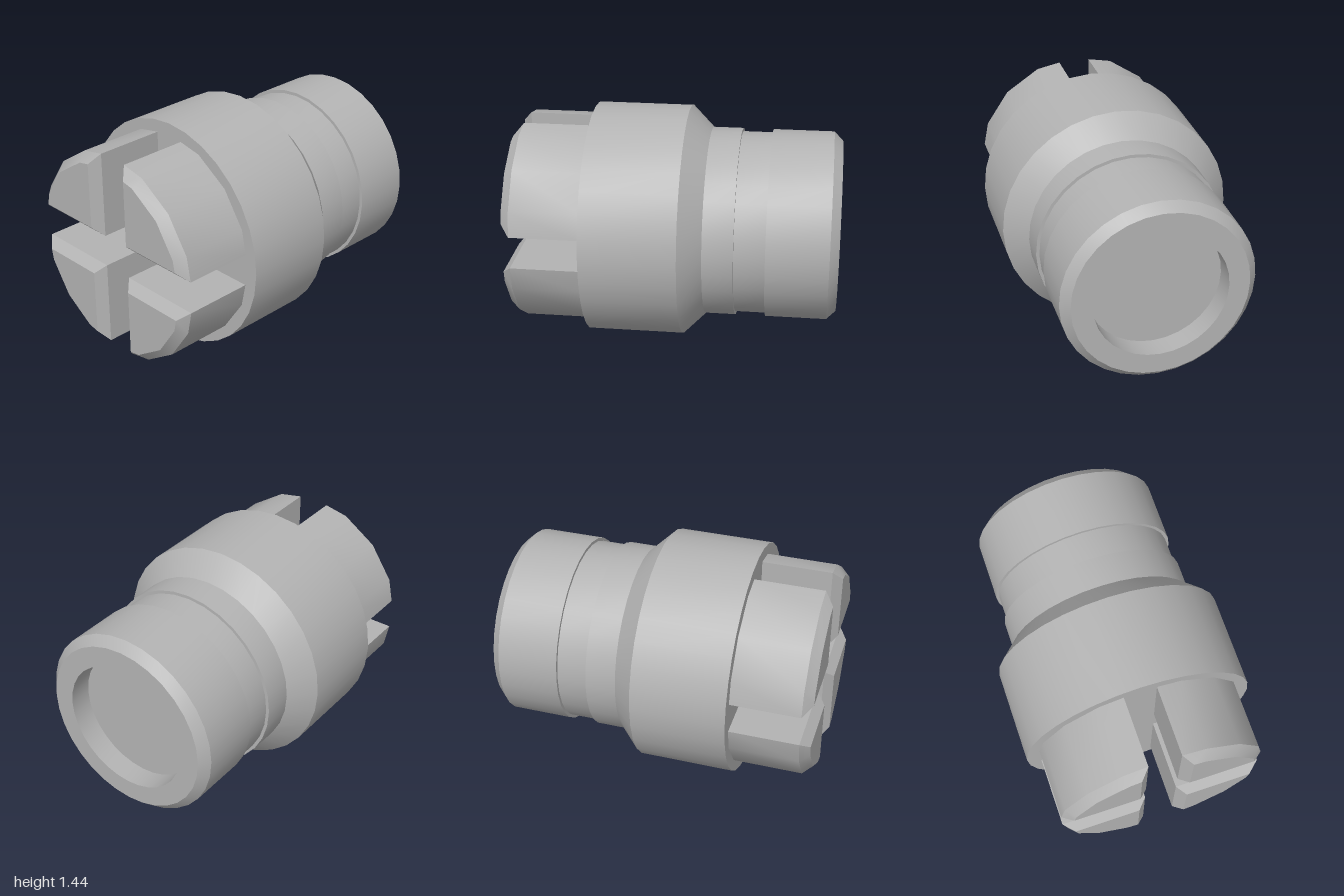
import * as THREE from 'three';
import { toCreasedNormals } from 'three/addons/utils/BufferGeometryUtils.js';

const AXIS_Y = 0.72; // height of the coupling's axis

// Outline (z, y) of one jaw: a quadrant of a 16-sided disc, set back from the slots by s
function jawOutline(R, s) {
  const end = R - Math.tan(Math.PI / 16) * s;
  const pts = [[s, s], [end, s]];
  for (let k = 1; k <= 3; k++) {
    const a = (k * Math.PI) / 8;
    pts.push([R * Math.cos(a), R * Math.sin(a)]);
  }
  pts.push([s, end]);
  return pts;
}

// Jaw lofted from root to chamfered tip along -x
function jawGeometry() {
  const sections = [[-0.515, 0.652, 0.1], [-0.943, 0.652, 0.1], [-1, 0.597, 0.155]];
  const pos = [];
  const idx = [];
  for (const [x, R, s] of sections) {
    for (const [z, y] of jawOutline(R, s)) pos.push(x, y, z);
  }
  const n = 6;
  for (let r = 0; r < sections.length - 1; r++) {
    for (let i = 0; i < n; i++) {
      const a = r * n + i;
      const b = r * n + ((i + 1) % n);
      idx.push(a, b, b + n, a, b + n, a + n);
    }
  }
  const tip = (sections.length - 1) * n;
  for (let i = 1; i < n - 1; i++) idx.push(tip, tip + i, tip + i + 1);
  const g = new THREE.BufferGeometry();
  g.setAttribute('position', new THREE.Float32BufferAttribute(pos, 3));
  g.setIndex(idx);
  return toCreasedNormals(g.toNonIndexed(), 0.45);
}

export function createModel() {
  const group = new THREE.Group();
  group.name = 'jawCoupling';
  const steel = new THREE.MeshStandardMaterial({ color: 0xb3b3b3 });
  steel.name = 'steel grey';

  // Turned body: collar, taper, neck with groove, chamfered rim and shallow bore
  const profile = [
    [0, -0.517], [0.718, -0.517], [0.718, 0.063], [0.585, 0.197],
    [0.585, 0.383], [0.565, 0.383], [0.565, 0.57], [0.585, 0.57],
    [0.585, 0.945], [0.532, 1], [0.405, 1], [0.405, 0.86], [0, 0.86],
  ].map(([r, h]) => new THREE.Vector2(r, h));
  const bodyGeo = new THREE.LatheGeometry(profile, 32).toNonIndexed();
  bodyGeo.rotateZ(-Math.PI / 2);
  const body = new THREE.Mesh(toCreasedNormals(bodyGeo, 0.45), steel);
  body.name = 'body';
  body.position.y = AXIS_Y;
  group.add(body);

  // Four jaws separated by crossed slots
  const jawGeo = jawGeometry();
  for (let i = 0; i < 4; i++) {
    const jaw = new THREE.Mesh(jawGeo, steel);
    jaw.name = 'jaw' + (i + 1);
    jaw.position.y = AXIS_Y;
    jaw.rotation.x = (i * Math.PI) / 2;
    group.add(jaw);
  }
  return group;
}
